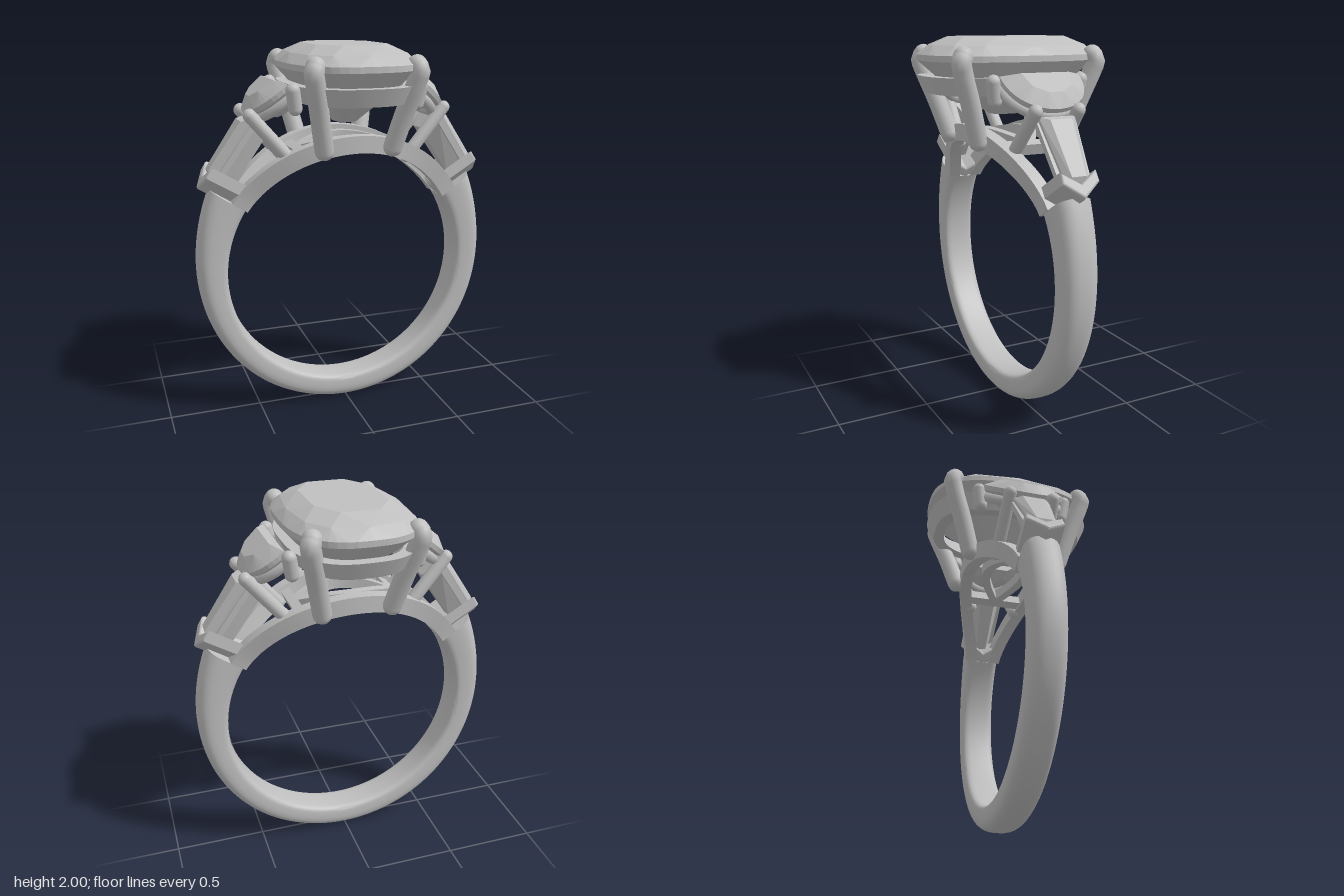
import * as THREE from 'three';
import { toCreasedNormals } from 'three/addons/utils/BufferGeometryUtils.js';
import { ConvexGeometry } from 'three/addons/geometries/ConvexGeometry.js';

const V = (x, y, z) => new THREE.Vector3(x, y, z);
const rad = THREE.MathUtils.degToRad;
const CY = 0.8, INNER = 0.66; // finger hole centre height and radius
const polar = (r, a, z) => V(r * Math.cos(a), CY + r * Math.sin(a), z);
const spow = (v, p) => Math.sign(v) * Math.abs(v) ** p;

// Skin over a list of closed cross-sections
function loft(rings, closed, crease = 0.6) {
  const n = rings[0].length, m = rings.length, idx = [];
  for (let i = 0; i < (closed ? m : m - 1); i++)
    for (let j = 0; j < n; j++) {
      const a = i * n + j, b = i * n + (j + 1) % n;
      const c = ((i + 1) % m) * n + j, d = ((i + 1) % m) * n + (j + 1) % n;
      idx.push(a, b, c, b, d, c);
    }
  if (!closed)
    for (let j = 1; j < n - 1; j++) {
      const e = (m - 1) * n;
      idx.push(0, j + 1, j, e, e + j, e + j + 1);
    }
  const g = new THREE.BufferGeometry().setFromPoints(rings.flat());
  g.setIndex(idx);
  return toCreasedNormals(g, crease);
}

// Cushion outline point
const cushion = (a, b, y, t) => V(a * spow(Math.cos(t), 2 / 2.7), y, b * spow(Math.sin(t), 2 / 2.7));
const cushionRing = (a, b, y, n, off = 0) =>
  Array.from({ length: n }, (_, i) => cushion(a, b, y, ((i + off) / n) * Math.PI * 2));

export function createModel() {
  const group = new THREE.Group();
  const metal = new THREE.MeshStandardMaterial({ color: 0xbfbfbf, side: THREE.DoubleSide });
  metal.name = 'silver grey';
  const add = (name, geo) => {
    const mesh = new THREE.Mesh(geo, metal);
    mesh.name = name;
    group.add(mesh);
    return mesh;
  };
  // Round bar with domed ends
  const bar = (name, pts, r) => {
    const curve = new THREE.CatmullRomCurve3(pts);
    add(name, new THREE.TubeGeometry(curve, pts.length > 2 ? 24 : 2, r, 14));
    for (const p of [pts[0], pts[pts.length - 1]])
      add(name + 'End', new THREE.SphereGeometry(r, 14, 10)).position.copy(p);
  };

  // Band: rounded section, thicker towards the shoulders
  const bandRings = [];
  for (let i = 0; i <= 96; i++) {
    const a = rad(33 - (246 * i) / 96);
    const s = Math.abs(i / 48 - 1);
    const outer = 0.8 + 0.075 * s ** 5, mid = (outer + INNER) / 2, h = (outer - INNER) / 2;
    const w = 0.092 + 0.008 * s ** 6;
    const ring = [];
    for (let j = 0; j < 28; j++) {
      const t = (j / 28) * Math.PI * 2, c = Math.cos(t);
      const p = c > 0 ? 2 / 2.6 : 2 / 5;
      ring.push(polar(mid + h * spow(c, p), a, w * spow(Math.sin(t), p)));
    }
    bandRings.push(ring);
  }
  add('band', loft(bandRings, false, 0.9));

  // Gallery rails arching under the stones
  const rail = (name, from, to, width, r0, r1, half) => {
    const rings = [];
    for (let i = 0; i <= 32; i++) {
      const u = i / 32, a = rad(from + (to - from) * u), z = width(u);
      rings.push([polar(r0, a, z - half), polar(r1, a, z - half), polar(r1, a, z + half), polar(r0, a, z + half)]);
    }
    add(name, loft(rings, false));
  };
  for (const s of [-1, 1]) {
    rail('galleryRail', 33, 147, (u) => s * (0.07 + 0.145 * Math.sin(Math.PI * u) ** 1.4), INNER, 0.75, 0.035);
    rail('galleryEye', 68, 112, (u) => s * 0.11 * Math.sin(Math.PI * u), 0.67, 0.73, 0.025);
    const cross = add('galleryCrossBar', new THREE.BoxGeometry(0.06, 0.05, 0.4));
    cross.position.copy(polar(0.7, rad(90 + 22 * s), 0));
    cross.rotation.z = rad(90 + 22 * s);
  }

  // Centre stone
  add('centreStone', new ConvexGeometry([
    ...cushionRing(0.2, 0.31, 2.0, 8, 0.5),
    ...cushionRing(0.29, 0.415, 1.957, 12),
    ...cushionRing(0.333, 0.467, 1.91, 48),
    ...cushionRing(0.333, 0.467, 1.88, 48),
    ...cushionRing(0.25, 0.36, 1.785, 12, 0.5),
    ...cushionRing(0.06, 0.1, 1.6, 8),
  ]));

  // Tapered basket below the centre stone
  const basket = [];
  for (let i = 0; i < 64; i++) {
    const t = (i / 64) * Math.PI * 2;
    basket.push([cushion(0.325, 0.467, 1.805, t), cushion(0.285, 0.425, 1.715, t),
      cushion(0.23, 0.365, 1.715, t), cushion(0.265, 0.405, 1.805, t)]);
  }
  add('basket', loft(basket, true));

  for (const sx of [-1, 1]) {
    // Local frame on a shoulder: u runs down and outwards, n points away from the ring
    const frame = (ox, oy, dx, dy) => (u, n, z) => V(sx * (ox + dx * u - dy * n), oy + dy * u + dx * n, z);

    // Half-moon side stone
    const moon = frame(0.35, 1.805, 0.78, -0.626);
    const arc = (k, n, count, u0 = 0) => Array.from({ length: count }, (_, i) => {
      const t = (i / (count - 1) - 0.5) * Math.PI;
      return moon(u0 + 0.235 * k * Math.cos(t) ** 0.85, n, 0.222 * k * Math.sin(t));
    });
    add('halfMoonStone', new ConvexGeometry([
      ...arc(0.6, 0.06, 6, 0.03), ...arc(1, 0.015, 25), ...arc(1, -0.01, 25), ...arc(0.4, -0.125, 6, 0.03)]));
    add('halfMoonSeat', new THREE.TubeGeometry(
      new THREE.CatmullRomCurve3(arc(0.9, -0.05, 15)), 32, 0.028, 8));

    // Tapered baguette stone and its side frames
    const bag = frame(0.55, 1.65, 0.568, -0.823);
    const slab = (name, rows) => add(name, new ConvexGeometry(rows.flatMap(([n, w0, w1, u0, u1]) =>
      [-1, 1].flatMap((s) => [bag(u0, n, s * w0), bag(u1, n, s * w1)]))));
    slab('baguetteStone', [
      [0.0, 0.06, 0.04, 0.03, 0.33], [-0.03, 0.1, 0.062, 0, 0.36],
      [-0.05, 0.1, 0.062, 0, 0.36], [-0.16, 0.045, 0.03, 0.02, 0.34]]);
    for (const s of [-1, 1])
      add('baguetteFrame', new ConvexGeometry([-0.045, -0.075].flatMap((n) =>
        [0, 0.02].flatMap((w) => [bag(0, n, s * (0.09 + w)), bag(0.36, n, s * (0.065 + w))]))));

    // Pointed end plate where the band meets the baguette
    const shape = new THREE.Shape([[-0.09, 0.13], [-0.09, 0.09], [0, 0.02], [0.09, 0.09], [0.09, 0.13], [0, 0.065]]
      .map(([x, y]) => new THREE.Vector2(x, y)));
    const plate = new THREE.ExtrudeGeometry(shape, {
      depth: 0.245, bevelThickness: 0.015, bevelSize: 0.012, bevelSegments: 3 });
    const a = rad(31), c = Math.cos(a), s = Math.sin(a);
    plate.applyMatrix4(new THREE.Matrix4().makeBasis(V(0, 0, -1), V(-s, c, 0), V(c, s, 0))
      .setPosition(polar(0.675, a, 0).sub(V(-0, CY, 0)).add(V(0, CY, 0))));
    const endPlate = add('endPlate', plate);
    if (sx < 0) endPlate.rotation.y = Math.PI;

    for (const sz of [-1, 1]) {
      const P = (x, y, z) => V(sx * x, y, sz * z);
      // Main claws gripping the centre stone
      bar('centreClaw', [P(0.185, 1.485, 0.255), P(0.225, 1.67, 0.312), P(0.262, 1.83, 0.368),
        P(0.272, 1.88, 0.38), P(0.26, 1.908, 0.365)], 0.05);
      // Claws for the side stones
      bar('upperSideClaw', [P(0.34, 1.79, 0.245), P(0.325, 1.7, 0.23)], 0.036);
      bar('lowerSideClaw', [P(0.53, 1.66, 0.118), P(0.315, 1.41, 0.135)], 0.035);
    }
  }
  return group;
}
